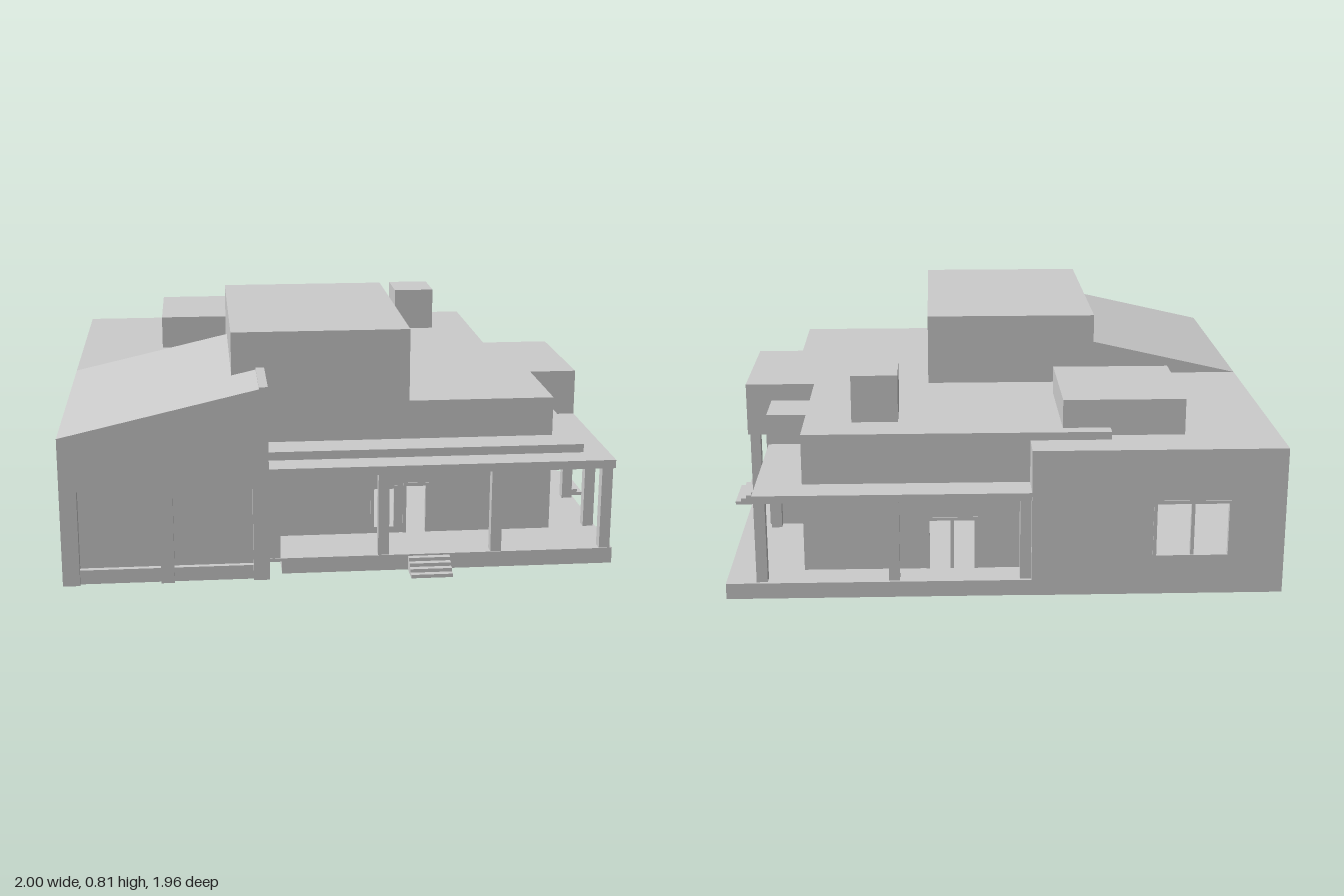
import * as THREE from 'three';

export function createModel() {
  const house = new THREE.Group();
  house.name = 'house';
  const grey = new THREE.MeshStandardMaterial({ color: 0xcccccc });
  grey.name = 'plain grey';

  // Box given by its minimum and maximum on each axis
  const box = (name, x0, x1, y0, y1, z0, z1, parent = house) => {
    const mesh = new THREE.Mesh(new THREE.BoxGeometry(x1 - x0, y1 - y0, z1 - z0), grey);
    mesh.position.set((x0 + x1) / 2, (y0 + y1) / 2, (z0 + z1) / 2);
    mesh.name = name;
    parent.add(mesh);
  };
  // Outline in x and y (or z and y when turned) pushed through a thickness
  const extrude = (name, points, depth, holes = []) => {
    const toVectors = (list) => list.map(([a, b]) => new THREE.Vector2(a, b));
    const shape = new THREE.Shape(toVectors(points));
    for (const hole of holes) shape.holes.push(new THREE.Path(toVectors(hole)));
    const mesh = new THREE.Mesh(new THREE.ExtrudeGeometry(shape, { depth, bevelEnabled: false }), grey);
    mesh.name = name;
    house.add(mesh);
    return mesh;
  };

  // Walls with openings, each opening given as [centre, width, bottom, top]
  const T = 0.03;
  const rect = (a0, a1, b0, b1) => [[a0, b0], [a1, b0], [a1, b1], [a0, b1]];
  const cut = (openings) => openings.map(([c, w, y0, y1]) => rect(c - w / 2, c + w / 2, y0, y1));
  const wallAcross = (name, x0, x1, top, z, openings) => {
    extrude(name, rect(x0, x1, 0, top), T, cut(openings)).position.z = z;
  };
  const wallAlong = (name, z0, z1, top, xMax, openings) => {
    const mesh = extrude(name, rect(z0, z1, 0, top), T, cut(openings));
    mesh.rotation.y = -Math.PI / 2;
    mesh.position.x = xMax;
  };

  // Frame built facing +z, then turned to its wall
  const frame = (name, [centre, w, y0, y1], at, turn, bars, sill) => {
    const g = new THREE.Group();
    g.name = name;
    const t = 0.012, h = y1 - y0, z0 = -0.016, z1 = 0.003;
    box('jamb', -w / 2, -w / 2 + t, 0, h, z0, z1, g);
    box('jamb', w / 2 - t, w / 2, 0, h, z0, z1, g);
    box('head', -w / 2, w / 2, h - t, h, z0, z1, g);
    if (sill) box('sill', -w / 2, w / 2, 0, t, z0, z1, g);
    if (bars) box('mullion', -t / 2, t / 2, 0, h, z0, 0, g);
    const sideways = Math.abs(Math.abs(turn) - Math.PI / 2) < 0.01;
    g.position.set(sideways ? at : centre, y0, sideways ? centre : at);
    g.rotation.y = turn;
    house.add(g);
  };

  // Openings
  const frontDoor = [0.248, 0.094, 0.056, 0.244];
  const frontWindow = [0.132, 0.096, 0.068, 0.236];
  const sideDoor = [0.03, 0.185, 0.056, 0.246];
  const backDoor = [0.14, 0.18, 0.056, 0.246];
  const backWindow = [-0.68, 0.27, 0.13, 0.34];
  const leftWindows = [-0.725, -0.285, 0.245, 0.665].map((z) => [z + 0.01, 0.26, 0.13, 0.34]);

  // Main walls
  wallAcross('frontWall', -0.295, 0.74, 0.55, 0.64, [frontDoor, frontWindow]);
  wallAcross('backWall', -0.13, 0.655, 0.55, -0.86, [backDoor]);
  wallAlong('eastRearWall', -0.86, -0.19, 0.55, 0.655, []);
  wallAlong('eastWall', -0.22, 0.67, 0.55, 0.74, [sideDoor]);
  wallAcross('eastReturn', 0.63, 0.74, 0.55, -0.22, []);
  wallAlong('wingReturn', -0.977, -0.83, 0.522, -0.13, []);
  box('roofEdgeLeft', -0.41, -0.38, 0.49, 0.55, -0.86, 0.67);
  box('roofEdgeBack', -0.41, -0.13, 0.49, 0.55, -0.86, -0.83);

  // Left wing and garage walls
  wallAlong('leftWall', -0.977, 0.945, 0.522, -0.998 + T, leftWindows);
  wallAcross('wingBackWall', -0.998, -0.13, 0.522, -0.977, [backWindow]);
  wallAlong('garageSideWall', 0.64, 0.945, 0.683, -0.295, []);
  extrude('garageFront', [
    [-0.998, 0], [-0.94, 0], [-0.94, 0.335], [-0.665, 0.335], [-0.665, 0], [-0.62, 0],
    [-0.62, 0.335], [-0.35, 0.335], [-0.35, 0], [-0.295, 0], [-0.295, 0.683], [-0.998, 0.522],
  ], 0.037).position.z = 0.908;
  box('leftGarageDoor', -0.95, -0.655, 0, 0.345, 0.895, 0.91);
  box('rightGarageDoor', -0.63, -0.34, 0, 0.345, 0.895, 0.91);

  // Roofs
  box('mainRoof', -0.41, 0.655, 0.52, 0.55, -0.86, 0.67);
  box('eastRoof', 0.655, 0.74, 0.52, 0.55, -0.22, 0.67);
  box('wingRoof', -0.998, -0.41, 0.492, 0.522, -0.977, 0.01);
  box('wingRoofBack', -0.41, -0.13, 0.492, 0.522, -0.977, -0.85);
  extrude('slopingRoof', [[-0.998, 0.492], [-0.295, 0.653], [-0.295, 0.683], [-0.998, 0.522]], 0.945);
  extrude('gable', [[-0.998, 0.492], [-0.295, 0.492], [-0.295, 0.683], [-0.998, 0.522]], T);

  // Blocks standing on or against the house
  box('overhangingBay', 0.74, 0.915, 0.35, 0.55, -0.22, 0.29);
  box('sideCloset', 0.655, 0.82, 0.05, 0.485, -0.41, -0.22);
  box('upperStorey', -0.41, 0.22, 0.55, 0.81, -0.22, 0.67);
  box('chimney', 0.325, 0.488, 0.55, 0.718, -0.72, -0.525);
  box('roofBox', -0.67, -0.245, 0.522, 0.65, -0.81, -0.37);

  // Floors inside
  box('wingFloor', -0.99, -0.295, 0, 0.05, -0.97, 0.93);
  box('wingFloorBack', -0.295, -0.14, 0, 0.05, -0.97, -0.85);
  box('mainFloor', -0.295, 0.65, 0, 0.05, -0.85, 0.66);
  box('eastFloor', 0.65, 0.735, 0, 0.05, -0.21, 0.66);

  // Porch decks reaching the walls, on bases that leave a gap around the house
  box('frontDeck', -0.295, 0.915, 0.044, 0.056, 0.67, 0.893);
  box('sideDeck', 0.74, 0.915, 0.044, 0.056, -0.22, 0.67);
  box('sideRearDeck', 0.655, 0.915, 0.044, 0.056, -0.975, -0.22);
  box('backDeck', -0.13, 0.655, 0.044, 0.056, -0.975, -0.86);
  box('frontBase', -0.25, 0.915, 0, 0.044, 0.715, 0.893);
  box('sideBase', 0.785, 0.915, 0, 0.044, -0.265, 0.715);
  box('sideRearBase', 0.7, 0.915, 0, 0.044, -0.975, -0.265);
  box('backBase', -0.13, 0.7, 0, 0.044, -0.975, -0.905);

  // Porch roofs, stepped at the front and side
  box('frontPorchRoof', -0.295, 0.915, 0.35, 0.38, 0.67, 0.893);
  box('sidePorchRoof', 0.74, 0.915, 0.35, 0.38, 0.29, 0.67);
  box('frontUpperStep', -0.295, 0.825, 0.38, 0.41, 0.67, 0.793);
  box('sideUpperStep', 0.74, 0.825, 0.38, 0.41, 0.29, 0.67);
  box('backPorchRoof', -0.13, 0.815, 0.345, 0.372, -0.975, -0.86);
  box('backSideRoof', 0.655, 0.815, 0.345, 0.372, -0.86, -0.41);

  // Porch columns
  const columns = [
    [-0.274, 0.87], [0.104, 0.87], [0.5, 0.87], [0.888, 0.87],
    [0.888, 0.645], [0.888, 0.325], [0.888, -0.19],
    [0.792, -0.945], [0.34, -0.945], [-0.11, -0.945], [0.792, -0.428],
  ];
  for (const [x, z] of columns) box('porchColumn', x - 0.019, x + 0.019, 0.056, 0.35, z - 0.019, z + 0.019);

  // Entrance steps
  for (let i = 0; i < 4; i++) {
    const top = 0.05 - i * 0.0125, reach = 0.0212 * (i + 1);
    box('frontStep', 0.19, 0.335, top - 0.0125, top, 0.893, 0.893 + reach);
    box('sideStep', 0.915, 0.915 + reach, top - 0.0125, top, -0.045, 0.155);
  }

  // Door and window frames
  frame('frontDoorFrame', frontDoor, 0.67, 0, false, false);
  frame('frontWindowFrame', frontWindow, 0.67, 0, false, true);
  frame('sideDoorFrame', sideDoor, 0.74, Math.PI / 2, true, false);
  frame('backDoorFrame', backDoor, -0.86, Math.PI, true, false);
  frame('backWindowFrame', backWindow, -0.977, Math.PI, true, true);
  for (const w of leftWindows) frame('leftWindowFrame', w, -0.998, -Math.PI / 2, true, true);

  return house;
}
